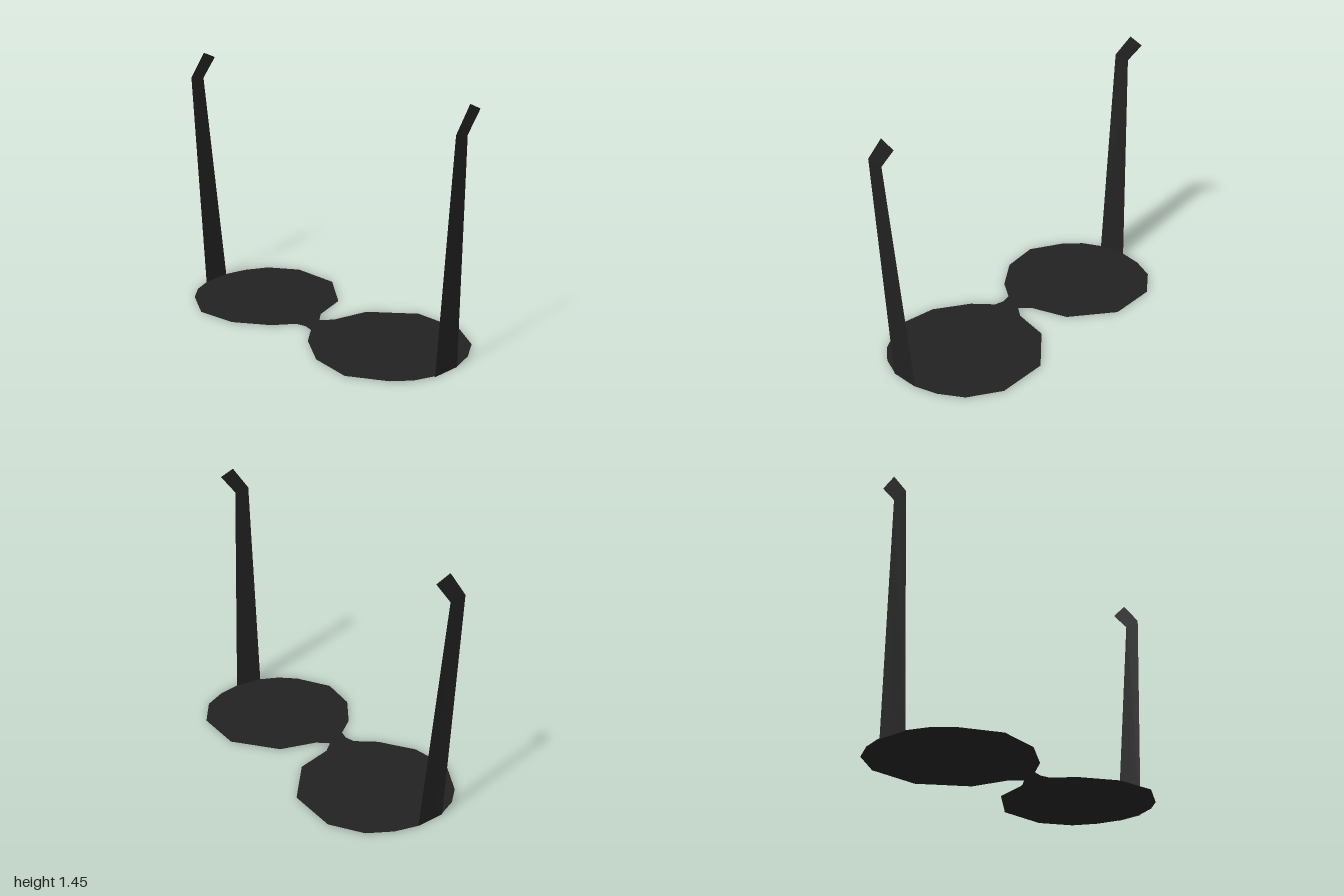
import * as THREE from 'three';

const blackPlastic = new THREE.MeshStandardMaterial({ color: 0x222222, side: THREE.DoubleSide });
blackPlastic.name = 'blackPlastic';

// One half of the lens outline (x, z), from the bridge's back to its front
const LENS = [
  [0, 0.03], [0.055, -0.035], [0.115, -0.25], [0.355, -0.445], [0.655, -0.445],
  [0.83, -0.33], [0.905, -0.195], [0.937, -0.065], [0.925, 0.11], [0.875, 0.225],
  [0.79, 0.32], [0.585, 0.437], [0.345, 0.405], [0.15, 0.275], [0.06, 0.16], [0, 0.145],
];

// Flat sheet of one lens with its half of the bridge, lying level
function lensGeometry(side) {
  const shape = new THREE.Shape(LENS.map(([x, z]) => new THREE.Vector2(x * side, -z)));
  return new THREE.ShapeGeometry(shape).rotateX(-Math.PI / 2).translate(0, 0.004, 0);
}

// Four-cornered sheet, corners listed counter-clockwise seen from +x
function panelGeometry(corners, side) {
  const geo = new THREE.BufferGeometry();
  geo.setAttribute('position', new THREE.Float32BufferAttribute(
    corners.flatMap(([x, y, z]) => [x * side, y, z]), 3));
  geo.setIndex(side > 0 ? [0, 1, 2, 0, 2, 3] : [0, 2, 1, 0, 3, 2]);
  geo.computeVertexNormals();
  return geo;
}

export function createModel() {
  const model = new THREE.Group();
  model.name = 'sunglasses';

  const add = (geometry, name) => {
    const mesh = new THREE.Mesh(geometry, blackPlastic);
    mesh.name = name;
    model.add(mesh);
  };

  for (const side of [1, -1]) {
    const prefix = side > 0 ? 'left' : 'right';
    add(lensGeometry(side), prefix + 'Lens');

    // Tapering temple arm, splayed outwards
    add(panelGeometry([
      [0.926, 0, 0.113], [0.936, 0, -0.06], [1, 1.295, 0.02], [1, 1.31, 0.113],
    ], side), prefix + 'Temple');

    // Hooked ear piece
    add(panelGeometry([
      [1, 1.31, 0.113], [1, 1.295, 0.02], [1, 1.41, -0.075], [1, 1.447, 0.01],
    ], side), prefix + 'EarPiece');
  }

  return model;
}
